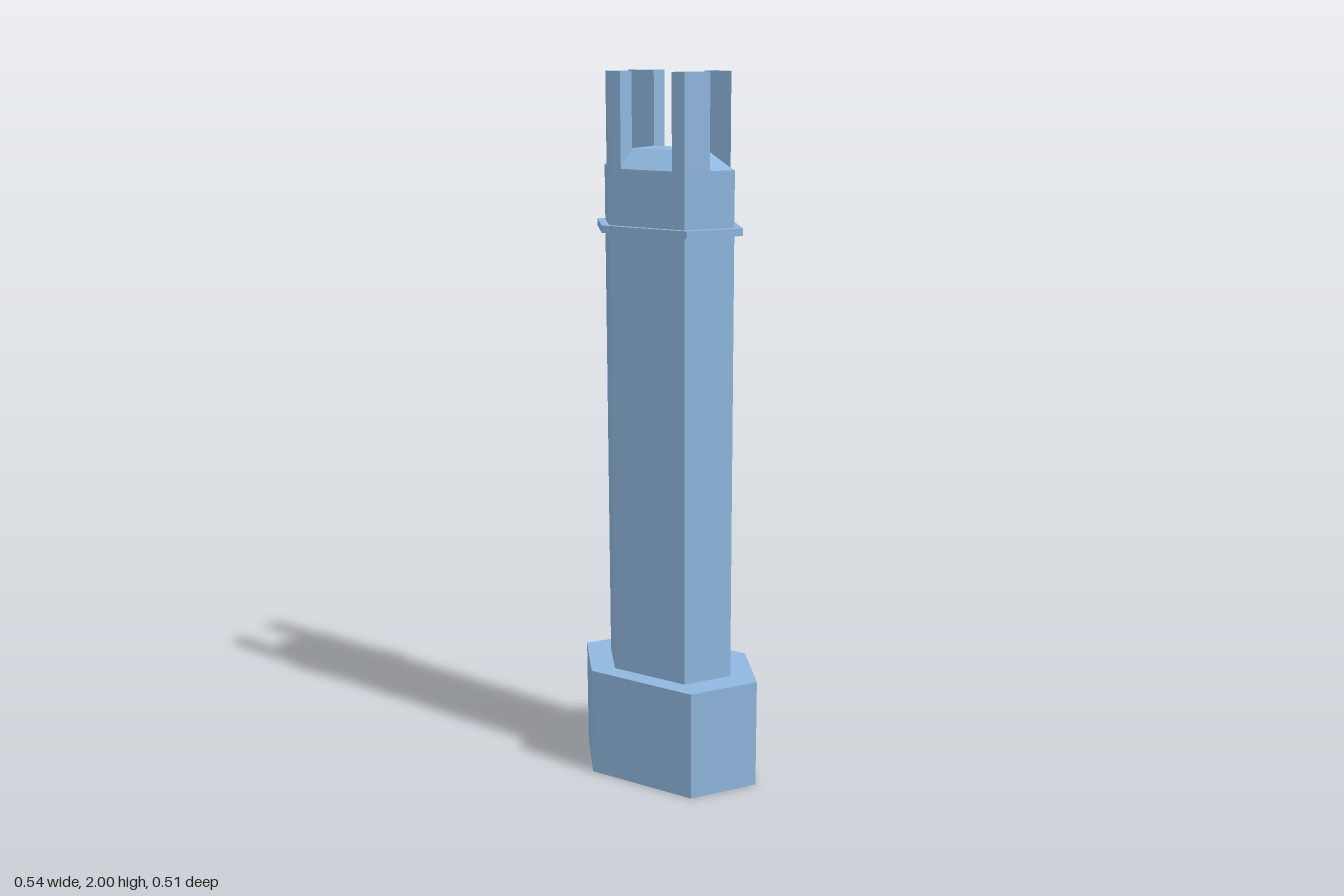
import * as THREE from 'three';

const material = new THREE.MeshStandardMaterial({ color: 0x8fb8e0, flatShading: true });

// Upright prism from a plan outline of [x, z] points
function prism(name, points, y0, y1) {
  const shape = new THREE.Shape(points.map(([x, z]) => new THREE.Vector2(x, -z)));
  const geometry = new THREE.ExtrudeGeometry(shape, { depth: y1 - y0, bevelEnabled: false });
  geometry.rotateX(-Math.PI / 2).translate(0, y0, 0);
  const mesh = new THREE.Mesh(geometry, material);
  mesh.name = name;
  return mesh;
}

// Stretched hexagon: square middle of half-width s with a point at each end
function hexagon(s) {
  const tip = s * 1.745;
  return [[-s, -s], [s, -s], [tip, 0], [s, s], [-s, s], [-tip, 0]];
}

function box(name, w, h, d, x, y, z) {
  const mesh = new THREE.Mesh(new THREE.BoxGeometry(w, h, d), material);
  mesh.position.set(x, y, z);
  mesh.name = name;
  return mesh;
}

export function createModel() {
  const model = new THREE.Group();
  model.name = 'tower';
  const tower = new THREE.Group();
  tower.name = 'turnedTower';
  tower.rotation.y = THREE.MathUtils.degToRad(20);
  tower.position.z = 0.045;
  model.add(tower);

  // Stacked hexagonal bodies
  const eaves = 1.75, ridge = 1.8, s = 0.1153, half = s / 2;
  tower.add(
    prism('base', hexagon(0.1642), 0, 0.32),
    prism('shaft', hexagon(s), 0.32, eaves),
    prism('collar', hexagon(0.13), 1.58, 1.6)
  );

  // Four corner pillars around the open top
  const inner = 0.0775, tip = s * 1.745, edge = (s + tip) / 2;
  for (const sx of [-1, 1]) {
    for (const sz of [-1, 1]) {
      const plan = [[inner, half], [edge, half], [s, s], [inner, s]];
      tower.add(prism('pillar', plan.map(([x, z]) => [x * sx, z * sz]), eaves, 2));
    }
  }

  // Raised floor with sloping sills, one half turned round to make the other
  const a = [inner, ridge, half], m = [inner, ridge, 0], b = [inner, ridge, -half];
  const c = [-inner, ridge, half], n = [-inner, ridge, 0];
  const oa = [edge, eaves, half], t = [tip, eaves, 0], ob = [edge, eaves, -half];
  const fa = [inner, eaves, s], fc = [-inner, eaves, s];
  const triangles = [
    n, c, a, n, a, m, // floor
    c, fc, fa, c, fa, a, // long side sill
    m, a, oa, m, oa, t, // pointed end sill
    m, t, ob, m, ob, b,
    a, fa, [inner, eaves, half], a, [inner, eaves, half], oa, // cheeks against pillars
  ];
  const floorGeometry = new THREE.BufferGeometry();
  floorGeometry.setAttribute('position', new THREE.Float32BufferAttribute(triangles.flat(), 3));
  floorGeometry.computeVertexNormals();
  for (const angle of [0, Math.PI]) {
    const floor = new THREE.Mesh(floorGeometry, material);
    floor.rotation.y = angle;
    floor.name = 'topFloor';
    tower.add(floor);
  }

  // Porch on the back: a flat roof on two posts
  tower.add(box('porchRoof', 0.223, 0.034, 0.12, 0, 0.188, -0.223));
  for (const side of [-1, 1]) {
    tower.add(box('porchPost', 0.036, 0.122, 0.028, side * 0.0935, 0.111, -0.269));
  }
  return model;
}
